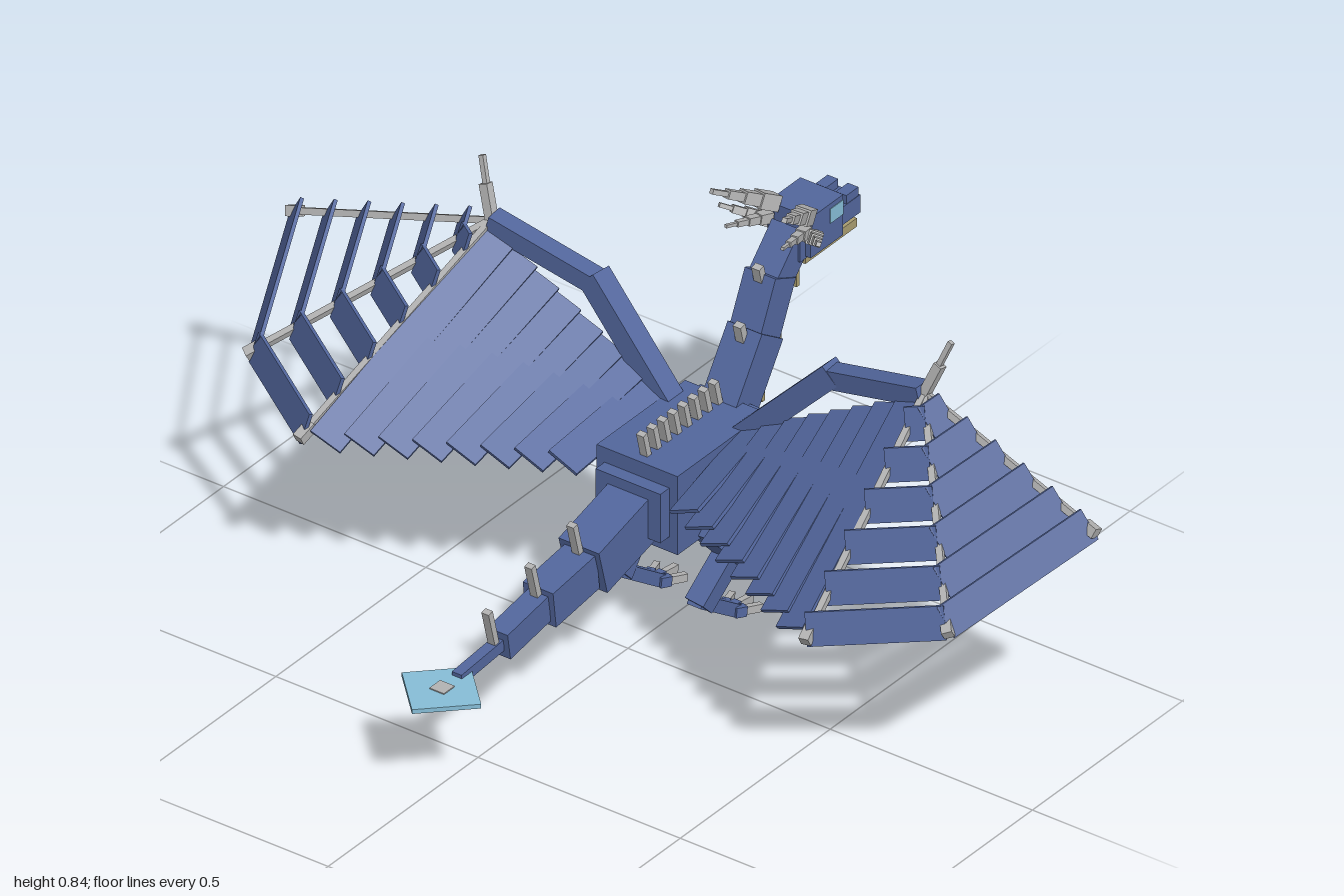
import * as THREE from 'three';

const mat = (name, color) => Object.assign(new THREE.MeshStandardMaterial({ color }), { name });
const blue = mat('scale blue', 0x52669c);
const horn = mat('horn grey', 0xb2b2b2);
const beige = mat('belly beige', 0xa89c70);
const ice = mat('ice blue', 0x86bdd6);

const V = (x, y, z) => new THREE.Vector3(x, y, z);
const lerp = (a, b, t) => a.clone().lerp(b, t);

// axis-aligned block from its centre and size
function block(parent, name, m, c, s) {
  const mesh = new THREE.Mesh(new THREE.BoxGeometry(...s), m);
  mesh.position.set(...c);
  mesh.name = name;
  parent.add(mesh);
  return mesh;
}

// block running from a to b; "side" points along its width
function beam(parent, name, m, a, b, width, depth, side = V(1, 0, 0)) {
  const dir = b.clone().sub(a);
  const mesh = new THREE.Mesh(new THREE.BoxGeometry(width, depth, dir.length()), m);
  const z = dir.normalize();
  const x = side.clone().addScaledVector(z, -side.dot(z)).normalize();
  const y = z.clone().cross(x);
  mesh.quaternion.setFromRotationMatrix(new THREE.Matrix4().makeBasis(x, y, z));
  mesh.position.copy(lerp(a, b, 0.5).copy(a).lerp(b, 0.5));
  mesh.name = name;
  parent.add(mesh);
  return mesh;
}

// horn made of shrinking stepped blocks
function steppedHorn(parent, name, a, b, base) {
  for (let i = 0; i < 4; i++) {
    const w = base * (1 - i * 0.23);
    beam(parent, name, horn, lerp(a, b, i / 4), lerp(a, b, (i + 1.15) / 4.15), w, w);
  }
}

function buildBody(g) {
  block(g, 'torso', blue, [0, 0.342, -0.178], [0.2, 0.185, 0.295]);
  block(g, 'chestPlate', blue, [0, 0.35, -0.335], [0.16, 0.14, 0.03]);
  block(g, 'rumpPlate', blue, [0, 0.343, -0.015], [0.16, 0.115, 0.03]);
  block(g, 'lowerTorso', blue, [0, 0.247, -0.18], [0.14, 0.012, 0.27]);
  block(g, 'bellyPlate', beige, [0, 0.242, -0.178], [0.09, 0.014, 0.255]);
  for (let i = 0; i < 8; i++) {
    const z = -0.3 + i * 0.034;
    beam(g, 'backSpike', horn, V(0, 0.425, z), V(0, 0.49, z + 0.016), 0.018, 0.014);
  }
}

function buildTail(g) {
  const path = [[0.325, -0.02], [0.28, 0.15], [0.262, 0.295], [0.24, 0.43], [0.229, 0.57]];
  const size = [[0.1, 0.11], [0.075, 0.085], [0.05, 0.062], [0.024, 0.026]];
  size.forEach(([w, h], i) => beam(g, 'tailSegment', blue,
    V(0, ...path[i]), V(0, ...path[i + 1]), w, h));
  for (const [y, z] of [[0.31, 0.165], [0.285, 0.305], [0.25, 0.448]])
    beam(g, 'tailSpike', horn, V(0, y, z), V(0, y + 0.085, z + 0.022), 0.018, 0.014);
  block(g, 'tailFin', ice, [0, 0.228, 0.622], [0.139, 0.01, 0.139]).rotation.y = Math.PI / 4;
  block(g, 'tailFinStud', horn, [0, 0.2335, 0.62], [0.036, 0.004, 0.036]);
}

function buildNeckAndHead(g) {
  beam(g, 'lowerNeck', blue, V(0, 0.39, -0.325), V(0, 0.54, -0.425), 0.085, 0.085);
  beam(g, 'middleNeck', blue, V(0, 0.52, -0.415), V(0, 0.65, -0.475), 0.076, 0.075);
  beam(g, 'upperNeck', blue, V(0, 0.625, -0.462), V(0, 0.715, -0.55), 0.07, 0.062);
  for (const [y, z] of [[0.42, -0.415], [0.532, -0.47], [0.632, -0.53]])
    block(g, 'throatPlate', beige, [0, y, z], [0.055, 0.066, 0.01]);
  for (const [y, z] of [[0.52, -0.385], [0.625, -0.447]])
    beam(g, 'neckSpike', horn, V(0, y, z), V(0, y + 0.06, z + 0.015), 0.02, 0.016);

  block(g, 'skull', blue, [0, 0.718, -0.592], [0.106, 0.095, 0.108]);
  block(g, 'skullBack', blue, [0, 0.695, -0.535], [0.08, 0.06, 0.03]);
  block(g, 'snout', blue, [0, 0.7, -0.683], [0.078, 0.042, 0.078]);
  block(g, 'lowerJaw', beige, [0, 0.657, -0.63], [0.07, 0.02, 0.172]);
  for (const s of [-1, 1]) {
    block(g, 'nostril', blue, [s * 0.025, 0.73, -0.697], [0.026, 0.022, 0.04]);
    block(g, 'eye', ice, [s * 0.0515, 0.737, -0.624], [0.006, 0.034, 0.044]);
    steppedHorn(g, 'upperHorn', V(s * 0.04, 0.765, -0.545), V(s * 0.09, 0.845, -0.4), 0.034);
    steppedHorn(g, 'lowerHorn', V(s * 0.05, 0.715, -0.55), V(s * 0.123, 0.765, -0.47), 0.03);
    steppedHorn(g, 'cheekHorn', V(s * 0.045, 0.735, -0.535), V(s * 0.07, 0.76, -0.42), 0.022);
  }
}

function buildLeg(g, s) {
  const P = (x, y, z) => V(s * x, y, z);
  beam(g, 'thigh', blue, P(0.1, 0.285, -0.13), P(0.125, 0.185, -0.215), 0.06, 0.08);
  beam(g, 'shin', blue, P(0.115, 0.21, -0.218), P(0.1, 0.095, -0.1), 0.048, 0.042);
  beam(g, 'ankle', blue, P(0.098, 0.11, -0.095), P(0.093, 0.022, -0.222), 0.034, 0.028);
  for (const t of [-1, 0, 1]) {
    const toe = P(0.093 + t * 0.014, 0.026, -0.21);
    const tip = P(0.093 + t * 0.036, 0.016, -0.285 + Math.abs(t) * 0.015);
    beam(g, 'toe', blue, toe, lerp(toe, tip, 0.4), 0.018, 0.022);
    beam(g, 'claw', horn, lerp(toe, tip, 0.35), tip, 0.013, 0.017);
  }
}

function buildWing(g, s) {
  const P = (x, y, z) => V(s * x, y, z);
  const shoulder = P(0.09, 0.41, -0.265), elbow = P(0.3, 0.625, -0.29), wrist = P(0.535, 0.675, -0.268);
  beam(g, 'upperArm', blue, shoulder, elbow, 0.05, 0.05, V(0, 0, 1));
  beam(g, 'forearm', blue, lerp(elbow, shoulder, 0.06), wrist, 0.042, 0.042, V(0, 0, 1));
  beam(g, 'wristSpike', horn, wrist, P(0.562, 0.745, -0.283), 0.02, 0.02);
  beam(g, 'wristSpikeTip', horn, P(0.555, 0.73, -0.28), P(0.58, 0.798, -0.296), 0.011, 0.011);

  // inner membrane of overlapping strips
  const n = 8;
  for (let i = 0; i < n; i++) {
    const u = (i + 0.5) / n;
    const front = lerp(P(0.1, 0.43, -0.26), P(0.535, 0.67, -0.26), u);
    const back = lerp(P(0.12, 0.395, 0.0), P(0.605, 0.395, 0.25), u);
    beam(g, 'innerMembrane', blue, front, back, 0.075, 0.008, V(s, 0.42, 0));
  }

  // finger bones with knuckles
  const tips = [P(0.625, 0.395, 0.25), P(0.865, 0.425, 0.1), P(0.995, 0.55, -0.215)];
  for (const tip of tips) {
    beam(g, 'fingerBone', horn, wrist, tip, 0.014, 0.014);
    beam(g, 'fingerTip', horn, lerp(wrist, tip, 0.94), lerp(wrist, tip, 1.01), 0.022, 0.022);
  }

  // outer membrane of steep slats between neighbouring fingers
  const slant = V(s * 0.45, -0.9, 0);
  for (let f = 0; f < 2; f++) {
    for (let i = 1; i <= 6; i++) {
      const t = i / 6 - 0.02;
      const slat = beam(g, 'outerMembrane', blue, lerp(wrist, tips[f + 1], t),
        lerp(wrist, tips[f], t), 0.072, 0.008, slant);
      slat.position.addScaledVector(slant, -0.012);
    }
  }
}

export function createModel() {
  const model = new THREE.Group();
  model.name = 'dragon';
  const part = (name, build, ...args) => {
    const g = new THREE.Group();
    g.name = name;
    build(g, ...args);
    model.add(g);
  };
  part('body', buildBody);
  part('tail', buildTail);
  part('neckAndHead', buildNeckAndHead);
  for (const [side, s] of [['left', 1], ['right', -1]]) {
    part(side + 'Leg', buildLeg, s);
    part(side + 'Wing', buildWing, s);
  }
  return model;
}
